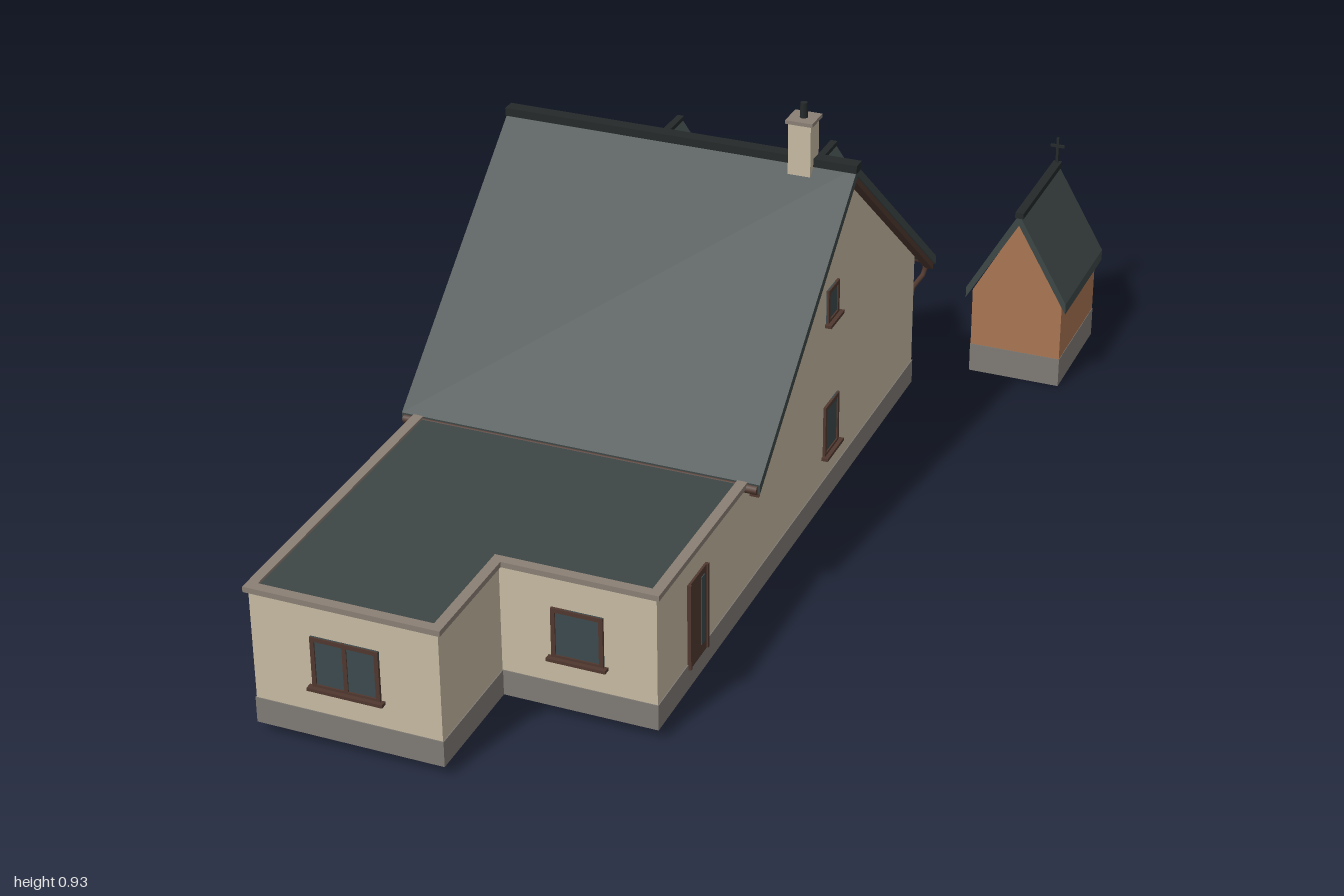
import * as THREE from 'three';

const paint = (name, color, side = THREE.FrontSide) => {
  const m = new THREE.MeshStandardMaterial({ color, side });
  m.name = name;
  return m;
};

export function createModel() {
  const render = paint('cream render', 0xc6baa3);
  const plinthGrey = paint('plinth grey', 0x7f7a74);
  const slate = paint('slate', 0x3d4646);
  const ridgeDark = paint('dark ridge', 0x24292a);
  const wood = paint('brown wood', 0x50382f);
  const glass = paint('glass', 0x3b4a4d);
  const brick = paint('brick', 0xaa7552);
  const coping = paint('coping', 0x8a7f75);

  const mesh = (parent, name, geo, mat, x = 0, y = 0, z = 0) => {
    const m = new THREE.Mesh(geo, mat);
    m.name = name;
    m.position.set(x, y, z);
    parent.add(m);
    return m;
  };
  const box = (parent, name, mat, w, h, d, x, y, z) =>
    mesh(parent, name, new THREE.BoxGeometry(w, h, d), mat, x, y, z);
  const group = (parent, name, x, y, z, ry = 0) => {
    const g = new THREE.Group();
    g.name = name;
    g.position.set(x, y, z);
    g.rotation.y = ry;
    parent.add(g);
    return g;
  };
  const polygon = (pts) => new THREE.Shape(pts.map(([x, y]) => new THREE.Vector2(x, y)));
  const extrude = (shape, depth) =>
    new THREE.ExtrudeGeometry(shape, { depth, bevelEnabled: false, curveSegments: 12 });
  // Extrusions along z, centred
  const prism = (pts, depth) => extrude(polygon(pts), depth).translate(0, 0, -depth / 2);
  const chevron = (run, ridge, eave, t, depth) => prism([
    [-run, eave - t], [0, ridge - t], [run, eave - t], [run, eave], [0, ridge], [-run, eave]], depth);
  const gable = (half, base, eave, apex, depth) => prism([
    [-half, base], [half, base], [half, eave], [0, apex], [-half, eave]], depth);

  // Framed window, outside facing its own +z
  const addWindow = (parent, name, x, y, z, w, h, ry, panes = 1) => {
    const g = group(parent, name, x, y, z, ry);
    const f = 0.009;
    box(g, 'pane', glass, w, h, 0.016, 0, 0, 0);
    for (const s of [-1, 1]) {
      box(g, 'frameSide', wood, f, h, 0.022, s * (w - f) / 2, 0, 0);
      box(g, 'frameRail', wood, w, f, 0.022, 0, s * (h - f) / 2, 0);
    }
    for (let i = 1; i < panes; i++) box(g, 'mullion', wood, f, h, 0.021, -w / 2 + w * i / panes, 0, 0);
    box(g, 'sill', wood, w + 0.016, 0.007, 0.02, 0, -h / 2, 0.01);
    return g;
  };
  const addDoor = (parent, x, z, w, bottom, top, ry) => {
    const h = top - bottom;
    const g = group(parent, 'door', x, (bottom + top) / 2, z, ry);
    box(g, 'doorLeaf', wood, w, h, 0.02, 0, 0, 0);
    box(g, 'doorGlass', glass, w * 0.2, h * 0.8, 0.024, w * 0.22, 0.005, 0);
    box(g, 'doorJamb', wood, 0.007, h, 0.026, -w / 2, 0, 0);
    box(g, 'doorJamb', wood, 0.007, h, 0.026, w / 2, 0, 0);
  };

  const model = new THREE.Group();
  model.name = 'houseAndChapel';
  const turn = -0.309;
  const house = group(model, 'house', -0.1045, 0, -0.2315, turn);

  // L-shaped footprint, shrunk by d, starting at the given back line
  const footprint = (d, back) => [
    [-0.365 + d, -back], [-0.365 + d, -1.265 + d], [0.035 - d, -1.265 + d],
    [0.035 - d, -1.003 + d], [0.365 - d, -1.003 + d], [0.365 - d, -back]];
  const ring = (outer, inner, h) => {
    const s = polygon(outer);
    s.holes.push(polygon(inner));
    return extrude(s, h).rotateX(-Math.PI / 2);
  };

  // Walls, open underneath
  mesh(house, 'plinth', ring(footprint(-0.002, -0.507), footprint(0.011, -0.494), 0.057), plinthGrey, 0, 0.025, 0);
  mesh(house, 'walls', ring(footprint(0, -0.505), footprint(0.01, -0.495), 0.243), render, 0, 0.082, 0);
  mesh(house, 'gableBlock', gable(0.505, 0.322, 0.35, 0.775, 0.73).rotateY(Math.PI / 2), render);

  // Flat roof of the extension
  mesh(house, 'flatRoof', extrude(polygon(footprint(0.002, 0.49)), 0.01).rotateX(-Math.PI / 2), slate, 0, 0.32, 0);
  mesh(house, 'roofCoping', ring(footprint(-0.008, 0.5), footprint(0.014, 0.52), 0.012), coping, 0, 0.324, 0);

  // Main pitched roof
  const roof = group(house, 'mainRoof', 0, 0, 0, Math.PI / 2);
  mesh(roof, 'roofSlopes', chevron(0.556, 0.798, 0.335, 0.022, 0.8), slate);
  for (const s of [-1, 1]) {
    mesh(roof, 'bargeBoard', chevron(0.55, 0.782, 0.324, 0.022, 0.02), wood, 0, 0, s * 0.386);
    const gutter = mesh(house, 'gutter', new THREE.CylinderGeometry(0.01, 0.01, 0.79, 8), wood, 0, 0.322, s * 0.555);
    gutter.rotation.z = Math.PI / 2;
  }
  box(house, 'ridgeCap', ridgeDark, 0.804, 0.018, 0.03, 0, 0.796, 0);

  // Downpipes at the back corners
  for (const s of [-1, 1]) {
    const path = new THREE.CatmullRomCurve3([
      [0.375, 0.318, -0.555], [0.375, 0.29, -0.55], [0.36, 0.265, -0.518], [0.355, 0.24, -0.513], [0.355, 0.05, -0.513],
    ].map(([x, y, z]) => new THREE.Vector3(s * x, y, z)));
    mesh(house, 'downpipe', new THREE.TubeGeometry(path, 16, 0.006, 6), wood);
  }

  // Chimney
  const chimney = group(house, 'chimney', 0.281, 0, 0.008);
  box(chimney, 'stack', render, 0.05, 0.17, 0.05, 0, 0.805, 0);
  box(chimney, 'stackCap', coping, 0.06, 0.008, 0.06, 0, 0.89, 0);
  mesh(chimney, 'pot', new THREE.CylinderGeometry(0.008, 0.009, 0.034, 8), ridgeDark, 0, 0.91, 0);

  // Dormers on the back slope
  for (const s of [-1, 1]) {
    const d = group(house, 'dormer', s * 0.186, 0, 0);
    mesh(d, 'dormerWalls', gable(0.055, 0.42, 0.535, 0.612, 0.23), render, 0, 0, -0.317);
    mesh(d, 'dormerRoof', chevron(0.077, 0.63, 0.52, 0.018, 0.255), slate, 0, 0, -0.32);
    mesh(d, 'dormerBarge', chevron(0.074, 0.617, 0.511, 0.014, 0.01), wood, 0, 0, -0.441);
    box(d, 'dormerRidge', ridgeDark, 0.016, 0.01, 0.256, 0, 0.628, -0.32);
    addWindow(d, 'dormerWindow', 0, 0.502, -0.428, 0.06, 0.085, Math.PI);
  }

  // Windows: name, x, y, z, width, height, turn, panes
  const R = Math.PI / 2;
  for (const w of [
    ['frontWindow', -0.164, 0.197, 1.26, 0.145, 0.115, 0, 2],
    ['frontWindow', 0.199, 0.197, 0.998, 0.11, 0.115, 0, 1],
    ['gableWindow', 0.36, 0.5, 0.05, 0.066, 0.08, R, 1],
    ['sideWindow', 0.36, 0.202, 0.048, 0.085, 0.122, R, 1],
    ['gableWindow', -0.36, 0.5, -0.09, 0.066, 0.08, -R, 1],
    ['sideWindow', -0.36, 0.2, -0.09, 0.085, 0.122, -R, 1],
    ['sideWindow', -0.36, 0.2, 0.36, 0.085, 0.122, -R, 1],
    ['sideWindow', -0.36, 0.2, 0.98, 0.085, 0.122, -R, 1],
    ['backWindow', 0.215, 0.2, -0.5, 0.155, 0.122, Math.PI, 2],
    ['backWindow', -0.24, 0.2, -0.5, 0.115, 0.122, Math.PI, 2],
  ]) addWindow(house, ...w);
  addDoor(house, 0.36, 0.806, 0.088, 0.07, 0.265, R);
  addDoor(house, -0.065, -0.5, 0.085, 0.06, 0.27, Math.PI);
  box(house, 'doorStep', plinthGrey, 0.12, 0.022, 0.05, -0.065, 0.048, -0.53);

  // Small brick chapel beside the house, its entrance at the back
  const chapel = group(model, 'chapel', 0.679, 0, -0.8175, turn);
  box(chapel, 'chapelPlinth', plinthGrey, 0.217, 0.07, 0.282, 0, 0.035, 0);
  mesh(chapel, 'chapelWalls', gable(0.1075, 0.07, 0.212, 0.405, 0.28), brick);
  mesh(chapel, 'chapelRoof', chevron(0.12, 0.428, 0.222, 0.026, 0.306), slate);
  box(chapel, 'chapelRidge', ridgeDark, 0.02, 0.014, 0.308, 0, 0.427, 0);

  const entrance = group(chapel, 'entrance', 0, 0, -0.14, Math.PI);
  const arch = new THREE.Shape();
  arch.moveTo(-0.045, 0.05);
  arch.lineTo(0.045, 0.05);
  arch.lineTo(0.045, 0.185);
  arch.absarc(0, 0.185, 0.045, 0, Math.PI, false);
  mesh(entrance, 'archedOpening', extrude(arch, 0.005), glass);
  const surround = new THREE.Shape();
  surround.absarc(0, 0.185, 0.062, 0, Math.PI, false);
  surround.absarc(0, 0.185, 0.044, Math.PI, 0, true);
  mesh(entrance, 'archSurround', extrude(surround, 0.01), render);
  for (const s of [-1, 1]) box(entrance, 'archJamb', wood, 0.007, 0.135, 0.012, s * 0.045, 0.118, 0.003);
  box(entrance, 'entranceStep', coping, 0.1, 0.03, 0.045, 0, 0.035, 0.02);

  // Roof cross
  const cross = group(chapel, 'roofCross', 0, 0, -0.145);
  box(cross, 'crossPost', ridgeDark, 0.006, 0.07, 0.006, 0, 0.462, 0);
  box(cross, 'crossArm', ridgeDark, 0.034, 0.006, 0.006, 0, 0.476, 0);

  return model;
}
